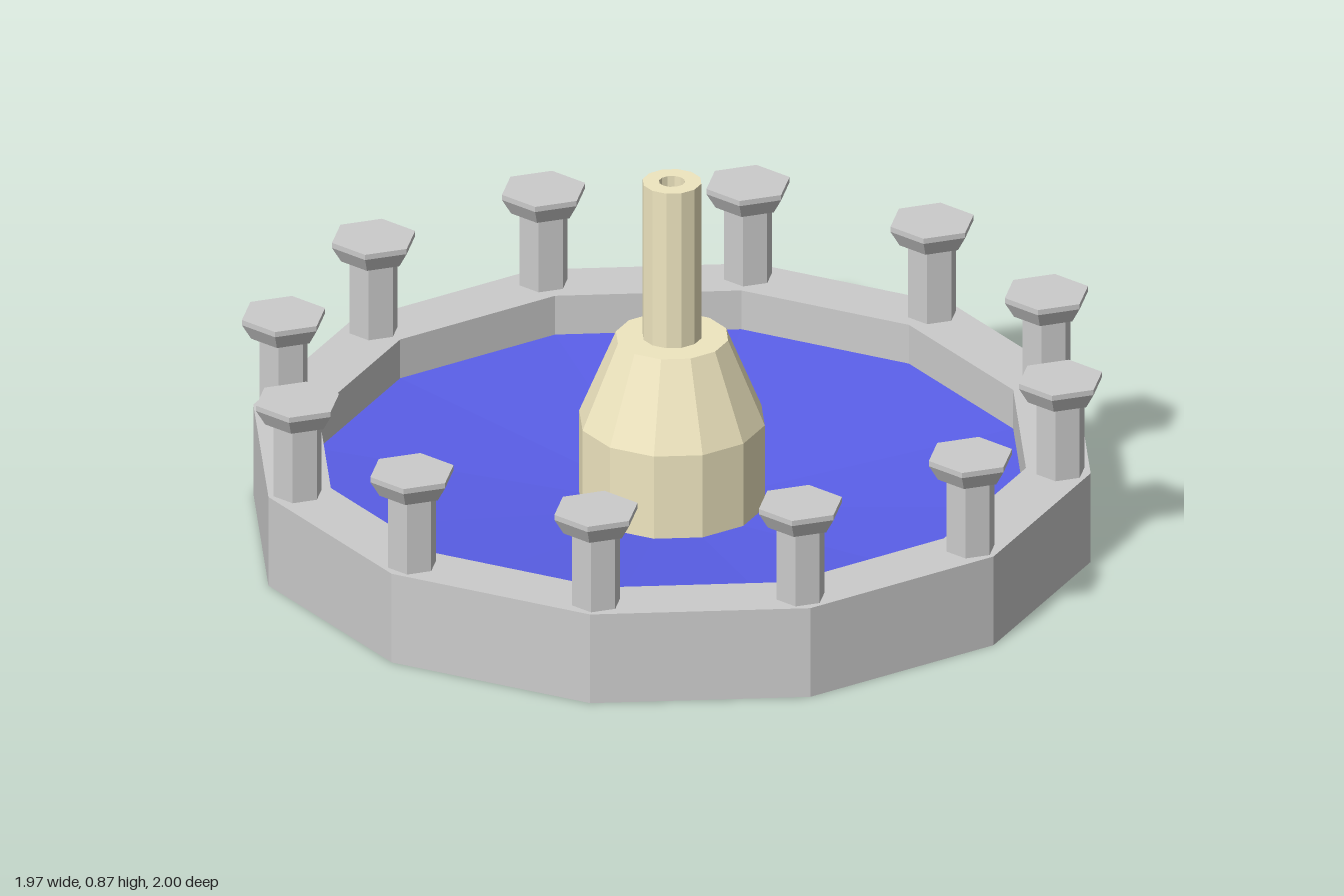
import * as THREE from 'three';

const material = (color) => new THREE.MeshStandardMaterial({ color, flatShading: true });

// Profile points [radius, height] run counter-clockwise: up outside, down inside
function lathe(name, profile, sides, mat) {
  const points = profile.map(([r, y]) => new THREE.Vector2(r, y));
  const mesh = new THREE.Mesh(new THREE.LatheGeometry(points, sides), mat);
  mesh.name = name;
  return mesh;
}

export function createModel() {
  const model = new THREE.Group();
  model.name = 'ringBasin';
  const grey = material(0xcccccc);
  const blue = material(0x5a5fe8);
  const cream = material(0xefe6c0);

  // Twelve-sided rim wall
  model.add(lathe('rim', [
    [0.97, 0], [0.97, 0.222], [0.82, 0.222], [0.82, 0.1],
  ], 12, grey));

  // Dished floor with a hollow sleeve rising inside the hub
  model.add(lathe('floor', [
    [0.97, 0], [0.82, 0.125], [0.2, 0.068], [0.125, 0.068],
    [0.125, 0.27], [0.11, 0.27], [0.11, 0.05], [0.97, 0],
  ], 12, blue));

  // Tapered hub, open underneath
  model.add(lathe('hub', [
    [0.215, 0.06], [0.215, 0.275], [0.13, 0.48], [0.03, 0.48],
    [0.03, 0.46], [0.11, 0.46], [0.13, 0.27], [0.13, 0.06],
  ], 12, cream));

  // Hollow spout
  model.add(lathe('spout', [
    [0.068, 0.47], [0.068, 0.867], [0.03, 0.867], [0.03, 0.47],
  ], 12, cream));

  // Ring of hexagonal posts with flared caps, all facing the same way
  const postProfile = [
    [0.058, 0.215], [0.058, 0.405], [0.078, 0.405],
    [0.1, 0.442], [0.1, 0.455], [0, 0.455],
  ];
  for (let i = 0; i < 12; i++) {
    const a = (i * Math.PI) / 6;
    const post = lathe('post' + (i + 1), postProfile, 6, grey);
    post.position.set(0.9 * Math.sin(a), 0, 0.9 * Math.cos(a));
    model.add(post);
  }
  return model;
}
